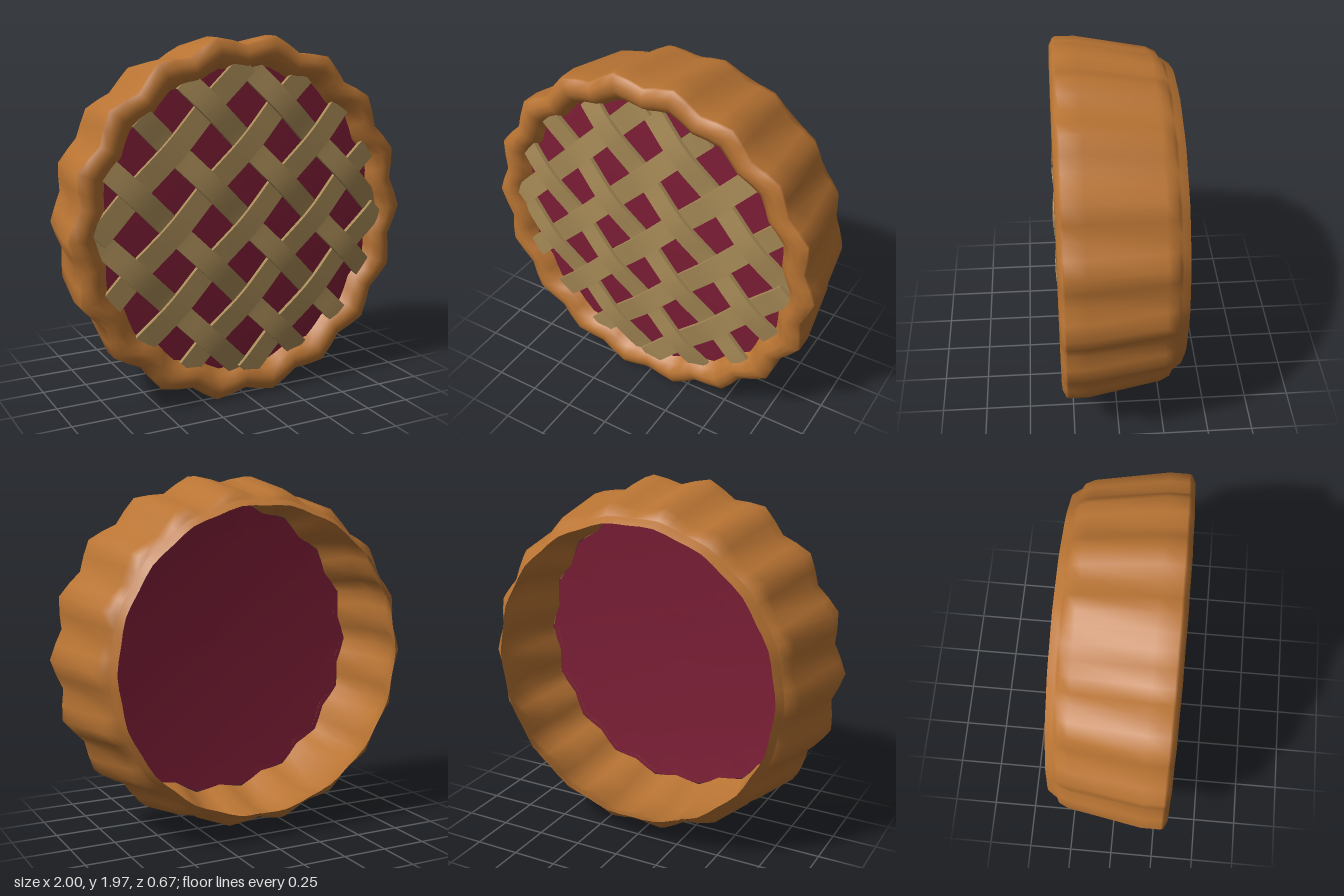
import * as THREE from 'three';

const SEG = 72;        // 18 scallops, four steps each
const WAVE = [0, 0.5, 1, 0.5];
const PITCH = 0.3;     // spacing of lattice strips
const STRIP_W = 0.12;

// Height of the gently domed filling at a distance from the axis
const fillingZ = (r) => 0.237 + 0.038 * (1 - (r * r) / 0.74);

// Scalloped ring surface swept round z from a profile of [radius, z, scallop depth]
function scallopedRing(profile) {
  const pos = [], idx = [], n = profile.length;
  for (let j = 0; j < SEG; j++) {
    const a = (j / SEG) * Math.PI * 2;
    for (const [r, z, depth] of profile) {
      const rr = r - WAVE[j % 4] * depth;
      pos.push(rr * Math.cos(a), rr * Math.sin(a), z);
    }
  }
  for (let j = 0; j < SEG; j++) {
    const k = (j + 1) % SEG;
    for (let i = 0; i < n - 1; i++) {
      const a = j * n + i, b = k * n + i;
      idx.push(a, a + 1, b, a + 1, b + 1, b);
    }
  }
  const g = new THREE.BufferGeometry();
  g.setAttribute('position', new THREE.Float32BufferAttribute(pos, 3));
  g.setIndex(idx);
  g.computeVertexNormals();
  return g;
}

// Thin strip along x that lies on the filling and waves over and under its neighbours
function wovenStrip(index, sign) {
  const offset = index * PITCH;
  const half = Math.sqrt(0.85 * 0.85 - offset * offset);
  const g = new THREE.BoxGeometry(half * 2, STRIP_W, 0.024, 48, 2, 1);
  g.translate(0, offset, 0.027);
  const p = g.attributes.position;
  for (let i = 0; i < p.count; i++) {
    const x = p.getX(i), y = p.getY(i);
    const wave = sign * 0.012 * Math.cos(Math.PI * (x / PITCH + index));
    p.setZ(i, p.getZ(i) + wave + fillingZ(Math.hypot(x, y)));
  }
  g.computeVertexNormals();
  return g;
}

export function createModel() {
  const crustMat = new THREE.MeshStandardMaterial({ color: 0xb97433 });
  crustMat.name = 'baked crust';
  const latticeMat = new THREE.MeshStandardMaterial({ color: 0xa68956 });
  latticeMat.name = 'pale pastry';
  const fillingMat = new THREE.MeshStandardMaterial({ color: 0x7c1d35, side: THREE.DoubleSide });
  fillingMat.name = 'berry filling';

  const model = new THREE.Group();
  model.name = 'pie';
  const add = (name, geometry, material, parent = model) => {
    const m = new THREE.Mesh(geometry, material);
    m.name = name;
    parent.add(m);
    return m;
  };

  // Crust: rolled front rim, tapered outside wall, creased back lip
  add('outerCrust', scallopedRing([
    [0.825, 0.225, 0.035], [0.865, 0.283, 0.04], [0.91, 0.312, 0.045], [0.955, 0.308, 0.05],
    [0.994, 0.288, 0.055], [1.0, 0.275, 0.055], [1.0, 0.17, 0.055], [0.93, -0.22, 0.045],
    [0.905, -0.272, 0.035], [0.872, -0.29, 0.015], [0.868, -0.3, 0.01], [0.84, -0.34, 0.01],
  ]), crustMat);

  // Inside wall, facing the axis, open at the back
  add('innerCrust', scallopedRing([
    [0.838, -0.34, 0.01], [0.865, -0.285, 0.02], [0.915, -0.2, 0.045],
    [0.93, 0.0, 0.05], [0.865, 0.24, 0.04],
  ]), crustMat);

  // Filling
  add('filling', scallopedRing([0, 0.2, 0.4, 0.6, 0.75, 0.86].map(
    (r) => [r, fillingZ(r), r > 0.8 ? 0.035 : 0])), fillingMat);

  // Woven lattice: five strips along each diagonal
  const lattice = new THREE.Group();
  lattice.name = 'lattice';
  model.add(lattice);
  for (let i = -2; i <= 2; i++) {
    add('risingStrip', wovenStrip(i, 1), latticeMat, lattice).rotation.z = Math.PI / 4;
    add('fallingStrip', wovenStrip(i, -1), latticeMat, lattice).rotation.z = -Math.PI / 4;
  }

  model.position.y = 0.985;
  const root = new THREE.Group();
  root.name = 'standingPie';
  root.add(model);
  return root;
}
